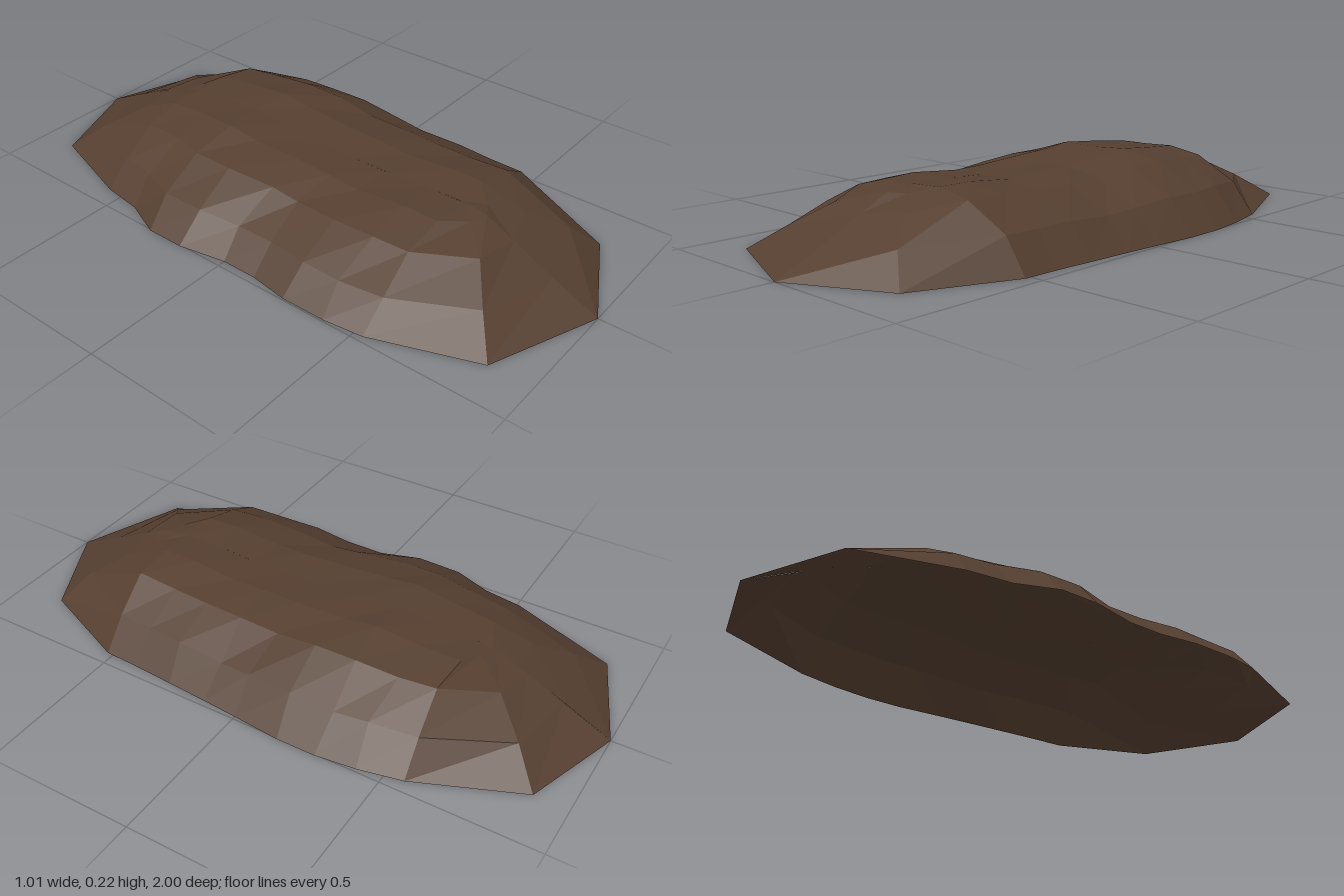
import * as THREE from 'three';

// Ground outline of the mound, as [x, z], from the back tip round by the left side
const OUTLINE = [
  [0, -1], [0.32, -0.89], [0.46, -0.56], [0.49, -0.42], [0.505, -0.29], [0.505, -0.16],
  [0.49, 0], [0.48, 0.12], [0.47, 0.26], [0.46, 0.4], [0.455, 0.52], [0.32, 0.84],
  [0, 1], [-0.36, 0.86], [-0.48, 0.53], [-0.495, 0.4], [-0.495, 0.25], [-0.475, 0.12],
  [-0.475, 0], [-0.505, -0.16], [-0.505, -0.29], [-0.45, -0.42], [-0.43, -0.56], [-0.33, -0.87],
];

// Ring positions between the outline (1) and the spine (0), and their heights
const SIDE = [1, 0.83, 0.54, 0.26, 0];
const TIP = [1, 0.68, 0.37, 0.12, 0];
const RISE_LEFT = [0, 0.54, 0.92, 1.03, 1];
const RISE_RIGHT = [0, 0.45, 0.83, 1.0, 1];
const RISE_TIP = [0, 0.38, 0.72, 0.93, 1];
const SPINE_END = 0.55;

// Height of the spine: a hump at each end with a shallow dip between them
function spineHeight(z) {
  const back = 0.026 * Math.exp(-(((z + 0.28) / 0.25) ** 2));
  const front = 0.014 * Math.exp(-(((z - 0.48) / 0.18) ** 2));
  return 0.183 + back + front;
}

function moundPoint(i, ring) {
  const [x, z] = OUTLINE[i % OUTLINE.length];
  const spineZ = THREE.MathUtils.clamp(z, -SPINE_END, SPINE_END);
  const tip = Math.min(1, Math.abs(z - spineZ) / 0.4);
  const t = THREE.MathUtils.lerp(SIDE[ring], TIP[ring], tip);
  const side = x >= 0 ? RISE_LEFT : RISE_RIGHT;
  const rise = THREE.MathUtils.lerp(side[ring], RISE_TIP[ring], tip);
  // slight lumps on the inner rings
  const lump = ring > 0 && ring < 4 ? 0.004 * Math.sin(i * 2.3 + ring * 1.7) : 0;
  return new THREE.Vector3(
    x * t,
    spineHeight(spineZ) * rise + lump,
    spineZ + (z - spineZ) * t + lump * 3,
  );
}

function moundGeometry() {
  const points = [];
  const triangle = (a, b, c) => {
    if (b.distanceTo(c) < 1e-6 || a.distanceTo(b) < 1e-6) return;
    points.push(a, b, c);
  };
  for (let ring = 0; ring < SIDE.length - 1; ring++) {
    for (let i = 0; i < OUTLINE.length; i++) {
      const a = moundPoint(i, ring);
      const b = moundPoint(i + 1, ring);
      const c = moundPoint(i, ring + 1);
      const d = moundPoint(i + 1, ring + 1);
      triangle(a, c, b);
      triangle(b, c, d);
    }
  }
  const geometry = new THREE.BufferGeometry().setFromPoints(points);
  geometry.computeVertexNormals();
  return geometry;
}

export function createModel() {
  const soil = new THREE.MeshStandardMaterial({
    name: 'brown soil', color: 0x553f30, flatShading: true, side: THREE.DoubleSide,
  });
  const group = new THREE.Group();
  group.name = 'dirtMound';
  // Open-bottomed shell of earth
  const mound = new THREE.Mesh(moundGeometry(), soil);
  mound.name = 'mound';
  group.add(mound);
  return group;
}
